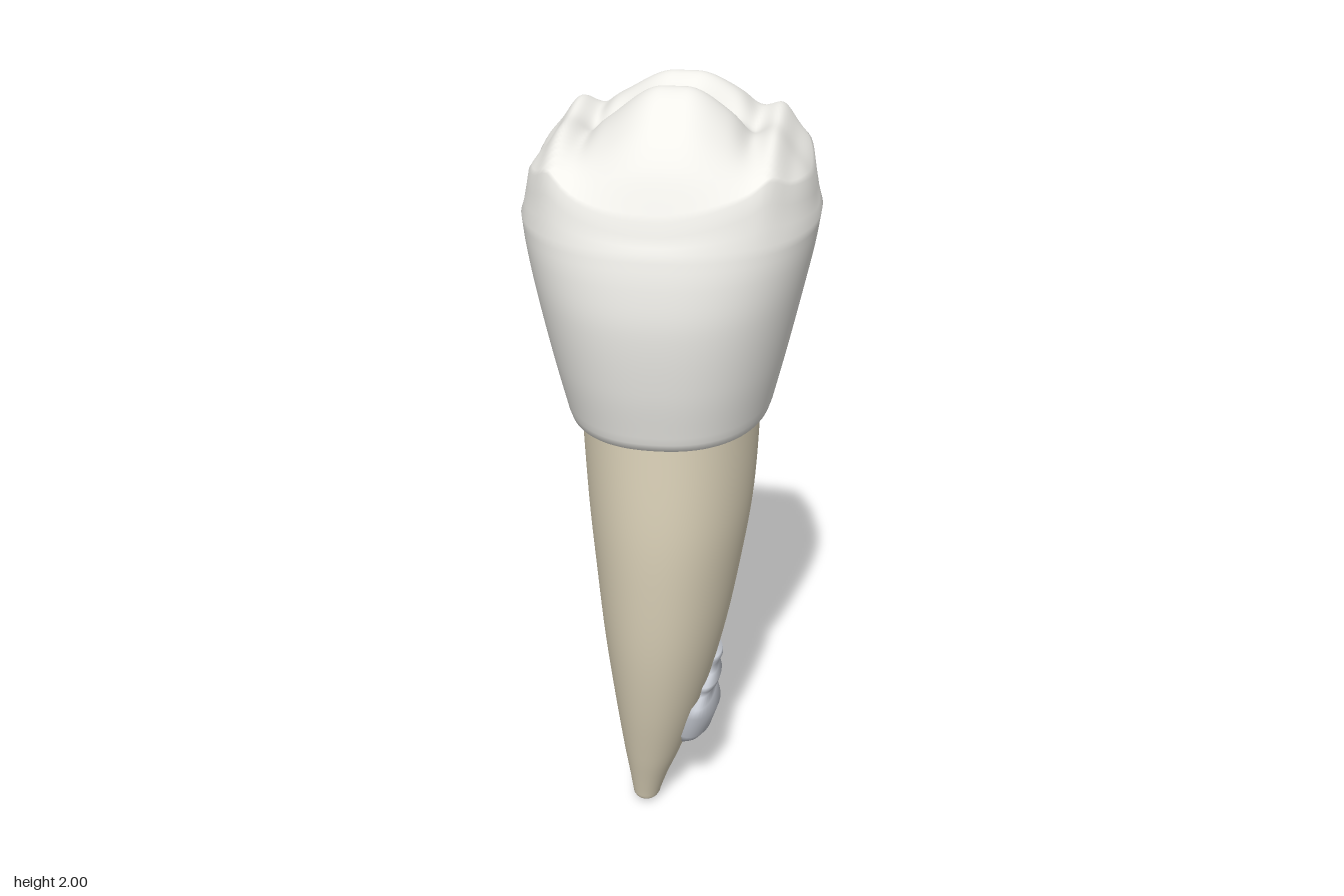
import * as THREE from 'three';

const SEG = 96;

// Smooth curve through a table of rows [t, a, b, ...], returns [a, b, ...]
function sample(rows, t) {
  const last = rows.length - 1;
  t = THREE.MathUtils.clamp(t, rows[0][0], rows[last][0]);
  let i = 0;
  while (i < last - 1 && t > rows[i + 1][0]) i++;
  const slope = (k, c) => {
    const p = rows[Math.max(k - 1, 0)], q = rows[Math.min(k + 1, last)];
    return (q[c] - p[c]) / (q[0] - p[0]);
  };
  const h = rows[i + 1][0] - rows[i][0], u = (t - rows[i][0]) / h;
  const u2 = u * u, u3 = u2 * u;
  return rows[i].slice(1).map((a, k) => {
    const c = k + 1;
    return a * (2 * u3 - 3 * u2 + 1) + rows[i + 1][c] * (3 * u2 - 2 * u3)
      + h * slope(i, c) * (u3 - 2 * u2 + u) + h * slope(i + 1, c) * (u3 - u2);
  });
}

// Closed superellipse ring in the xz plane; y may be a number or a rule (x, z)
function ring(y, cx, rx, rz, power, seg = SEG) {
  const pts = [];
  for (let i = 0; i < seg; i++) {
    const a = (i / seg) * Math.PI * 2, c = Math.cos(a), s = Math.sin(a);
    const k = Math.pow(Math.abs(c) ** power + Math.abs(s) ** power, -1 / power);
    const x = cx + rx * c * k, z = rz * s * k;
    pts.push([x, typeof y === 'function' ? y(x, z) : y, z]);
  }
  return pts;
}

// Skin over rings listed from bottom to top
function loft(name, rings, color) {
  const n = rings[0].length, index = [];
  for (let r = 0; r < rings.length - 1; r++) {
    for (let i = 0; i < n; i++) {
      const a = r * n + i, b = r * n + (i + 1) % n;
      index.push(a, a + n, b, b, a + n, b + n);
    }
  }
  const geo = new THREE.BufferGeometry();
  geo.setAttribute('position', new THREE.Float32BufferAttribute(rings.flat(2), 3));
  geo.setIndex(index);
  geo.computeVertexNormals();
  const mesh = new THREE.Mesh(geo, new THREE.MeshStandardMaterial({ color }));
  mesh.name = name;
  return mesh;
}

// Height of the chewing surface: two cusps, a cross groove and end ridges
const CUSPS = [[-0.36, 1.73], [-0.33, 1.785], [-0.28, 1.855], [-0.2, 1.935], [-0.1, 1.99],
  [-0.01, 1.962], [0.1, 2], [0.2, 1.95], [0.28, 1.875], [0.33, 1.79], [0.36, 1.73]];
const RIDGE = [[-0.36, 1.74], [-0.3, 1.82], [-0.18, 1.9], [-0.12, 1.918], [0, 1.905],
  [0.1, 1.9], [0.2, 1.87], [0.27, 1.83], [0.36, 1.74]];
const SHOULDER = [[0.2, 0], [0.235, 0], [0.27, 0.045], [0.31, 0.095], [0.335, 0.16]];

function chewingHeight(x, z) {
  const ax = Math.abs(x);
  const shift = x > 0 ? 0.03 : 0;
  const s = THREE.MathUtils.smoothstep(ax, 0.01 + shift, 0.19 + shift);
  const y = THREE.MathUtils.lerp(sample(CUSPS, z)[0], sample(RIDGE, z)[0], s);
  const pit = 0.02 * Math.exp(-(((ax - 0.18) / 0.025) ** 2) - (z / 0.18) ** 4);
  const groove = 0.025 * Math.exp(-(((ax - 0.12) / 0.06) ** 2) - ((z + 0.01) / 0.04) ** 2);
  return Math.max(1.72, y - pit - groove - sample(SHOULDER, ax)[0]);
}

function makeCrown() {
  // [y, half width, half depth]
  const wall = [[1.27, 0.243, 0.332], [1.4, 0.273, 0.36], [1.55, 0.305, 0.378],
    [1.65, 0.325, 0.372], [1.72, 0.335, 0.358]];
  const rings = [ring(1.262, 0, 0.19, 0.28, 2.3), ring(1.25, 0, 0.225, 0.31, 2.3),
    ring(1.252, 0, 0.237, 0.325, 2.3)];
  for (let i = 0; i <= 24; i++) {
    const y = 1.27 + 0.45 * (i / 24);
    const [rx, rz] = sample(wall, y);
    rings.push(ring(y, 0, rx, rz, 2.3));
  }
  for (let i = 1; i <= 48; i++) {
    const t = 1 - i / 48;
    const blend = Math.min(1, (1 - t) / 0.06);
    const top = (x, z) => 1.72 + (chewingHeight(x, z) - 1.72) * blend;
    rings.push(ring(top, 0, 0.335 * t, 0.358 * t, 2.3));
  }
  return loft('crown', rings, 0xf0efea);
}

function makeRoot() {
  // [y, low x, high x, half depth]
  const rows = [[0.03, -0.112, -0.035, 0.05], [0.1, -0.12, -0.012, 0.076],
    [0.2, -0.133, 0.026, 0.114], [0.4, -0.155, 0.088, 0.181], [0.6, -0.175, 0.137, 0.234],
    [0.8, -0.19, 0.173, 0.27], [1, -0.204, 0.2, 0.294], [1.28, -0.216, 0.213, 0.306]];
  const rings = [];
  // Rounded tip
  for (let i = 0; i < 6; i++) {
    const a = (i / 6) * Math.PI / 2;
    rings.push(ring(0.03 * (1 - Math.cos(a)), -0.0735, 0.0385 * Math.sin(a), 0.05 * Math.sin(a), 2.1));
  }
  for (let i = 0; i <= 40; i++) {
    const y = 0.03 + 1.25 * (i / 40);
    const [lo, hi, rz] = sample(rows, y);
    rings.push(ring(y, (lo + hi) / 2, (hi - lo) / 2, rz, 2.1));
  }
  rings.push(ring(1.28, 0, 0, 0, 2));
  return loft('root', rings, 0xe3d9bf);
}

function makeRootInset() {
  // Stepped bulb half sunk into the root: [y, centre x, half width, half depth]
  const rows = [[0.23, 0.03, 0, 0], [0.231, 0.03, 0.018, 0.05], [0.255, 0.045, 0.042, 0.075],
    [0.28, 0.05, 0.055, 0.093], [0.35, 0.065, 0.062, 0.107], [0.385, 0.075, 0.04, 0.112],
    [0.397, 0.08, 0.03, 0.07], [0.42, 0.088, 0.036, 0.078], [0.44, 0.092, 0.037, 0.085],
    [0.455, 0.1, 0.022, 0.045], [0.48, 0.105, 0.018, 0.038], [0.5, 0.11, 0.022, 0.05],
    [0.512, 0.112, 0.018, 0.045], [0.513, 0.112, 0, 0]];
  return loft('rootInset', rows.map(([y, cx, rx, rz]) => ring(y, cx, rx, rz, 2, 32)), 0xc4c8d0);
}

export function createModel() {
  const tooth = new THREE.Group();
  tooth.name = 'tooth';
  tooth.add(makeCrown(), makeRoot(), makeRootInset());
  return tooth;
}
